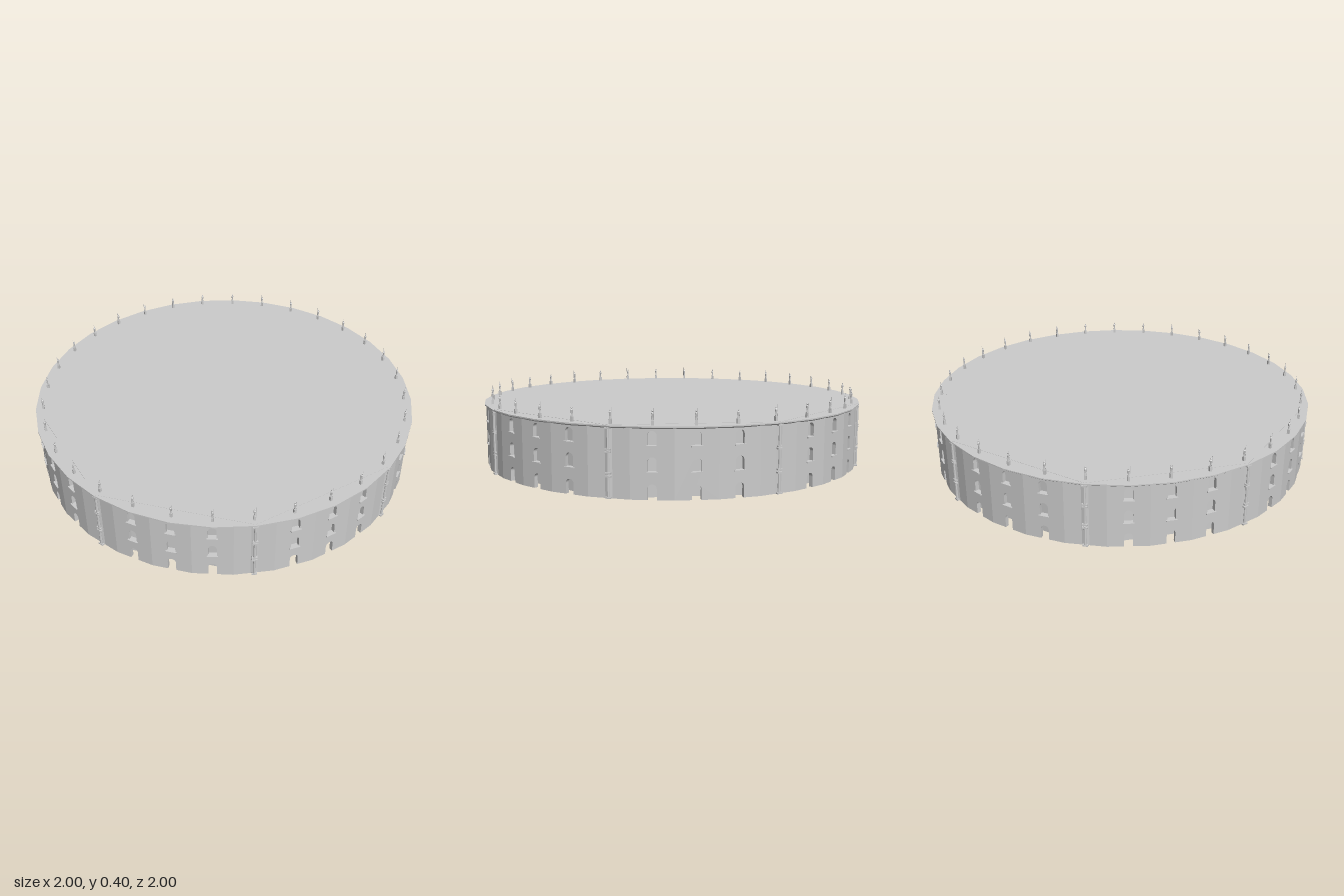
import * as THREE from 'three';

const SIDES = 32;
const STEP = (Math.PI * 2) / SIDES;
const WALL_R = 0.985, WALL_T = 0.02, ROOF = 0.325;
const WINDOW_BASES = [0.125, 0.24];
const material = new THREE.MeshStandardMaterial({ color: 0xcccccc, flatShading: true, side: THREE.DoubleSide });

function add(parent, name, geometry, x = 0, y = 0, z = 0) {
  const mesh = new THREE.Mesh(geometry, material);
  mesh.name = name;
  mesh.position.set(x, y, z);
  parent.add(mesh);
  return mesh;
}

// Round-headed opening, used for the windows
function archHole(halfWidth, y0, y1) {
  const hole = new THREE.Path();
  hole.moveTo(-halfWidth, y0);
  hole.lineTo(halfWidth, y0);
  hole.lineTo(halfWidth, y1 - halfWidth);
  hole.absarc(0, y1 - halfWidth, halfWidth, 0, Math.PI, false);
  hole.lineTo(-halfWidth, y0);
  return hole;
}

// One flat facet of the round wall, with or without a door and two windows
function panelGeometry(open) {
  const w = WALL_R * Math.tan(STEP / 2), top = ROOF - 0.008, door = 0.02;
  const shape = new THREE.Shape();
  shape.moveTo(-w, 0);
  if (open) {
    shape.lineTo(-door, 0);
    shape.lineTo(-door, 0.05);
    shape.absarc(0, 0.05, door, Math.PI, 0, true);
    shape.lineTo(door, 0);
  }
  shape.lineTo(w, 0);
  shape.lineTo(w, top);
  shape.lineTo(-w, top);
  shape.closePath();
  if (open) for (const y of WINDOW_BASES) shape.holes.push(archHole(0.02, y, y + 0.064));
  return new THREE.ExtrudeGeometry(shape, { depth: WALL_T, bevelEnabled: false, curveSegments: 8 });
}

export function createModel() {
  const model = new THREE.Group();
  model.name = 'roundArcadeBuilding';

  // Eight-sided inner core; its corners meet the columns
  const core = new THREE.CylinderGeometry(0.992, 0.992, ROOF + 0.001, 8);
  add(model, 'octagonalCore', core, 0, (ROOF + 0.001) / 2, 0);

  // Round roof and the thin cornice below it
  add(model, 'roof', new THREE.CylinderGeometry(1, 1, 0.006, SIDES), 0, ROOF - 0.003, 0);
  add(model, 'cornice', new THREE.CylinderGeometry(0.998, 0.992, 0.006, SIDES), 0, ROOF - 0.009, 0);

  const openPanel = panelGeometry(true);
  const solidPanel = panelGeometry(false);
  const sill = new THREE.BoxGeometry(0.052, 0.006, 0.012);
  const shaft = new THREE.CylinderGeometry(0.006, 0.007, 0.1, 8);
  const block = new THREE.BoxGeometry(0.026, 0.007, 0.016);
  const pedestal = new THREE.BoxGeometry(0.012, 0.022, 0.012);
  const head = new THREE.SphereGeometry(0.0036, 8, 6);
  const staff = new THREE.CylinderGeometry(0.0009, 0.0009, 0.055, 5);
  const body = new THREE.LatheGeometry([
    [0.0045, 0], [0.0035, 0.012], [0.0045, 0.02], [0.006, 0.03], [0.002, 0.035], [0, 0.036],
  ].map(([x, y]) => new THREE.Vector2(x, y)), 8);

  for (let i = 0; i < SIDES; i++) {
    const bay = new THREE.Group();
    const corner = i % 4 === 0;
    bay.name = corner ? 'columnBay' : 'windowBay';
    bay.rotation.y = i * STEP;
    model.add(bay);
    add(bay, 'wallPanel', corner ? solidPanel : openPanel, 0, 0, WALL_R - WALL_T);

    if (corner) {
      // Three stacked slender columns, one for each storey
      for (const y of [0.004, 0.113, 0.218]) {
        add(bay, 'columnBase', block, 0, y, 0.992);
        add(bay, 'columnShaft', shaft, 0, y + 0.05, 0.992);
        add(bay, 'columnCapital', block, 0, y + 0.094, 0.992);
      }
    } else {
      for (const y of WINDOW_BASES) add(bay, 'windowSill', sill, 0, y - 0.003, WALL_R + 0.002);
    }

    // Statue with a staff on the roof edge
    const statue = new THREE.Group();
    statue.name = 'statue';
    statue.position.set(0, ROOF, 0.96);
    bay.add(statue);
    add(statue, 'pedestal', pedestal, 0, 0.011, 0);
    add(statue, 'body', body, 0, 0.022, 0);
    add(statue, 'head', head, 0, 0.061, 0);
    add(statue, 'staff', staff, 0.006, 0.0475, 0.001);
  }
  return model;
}
